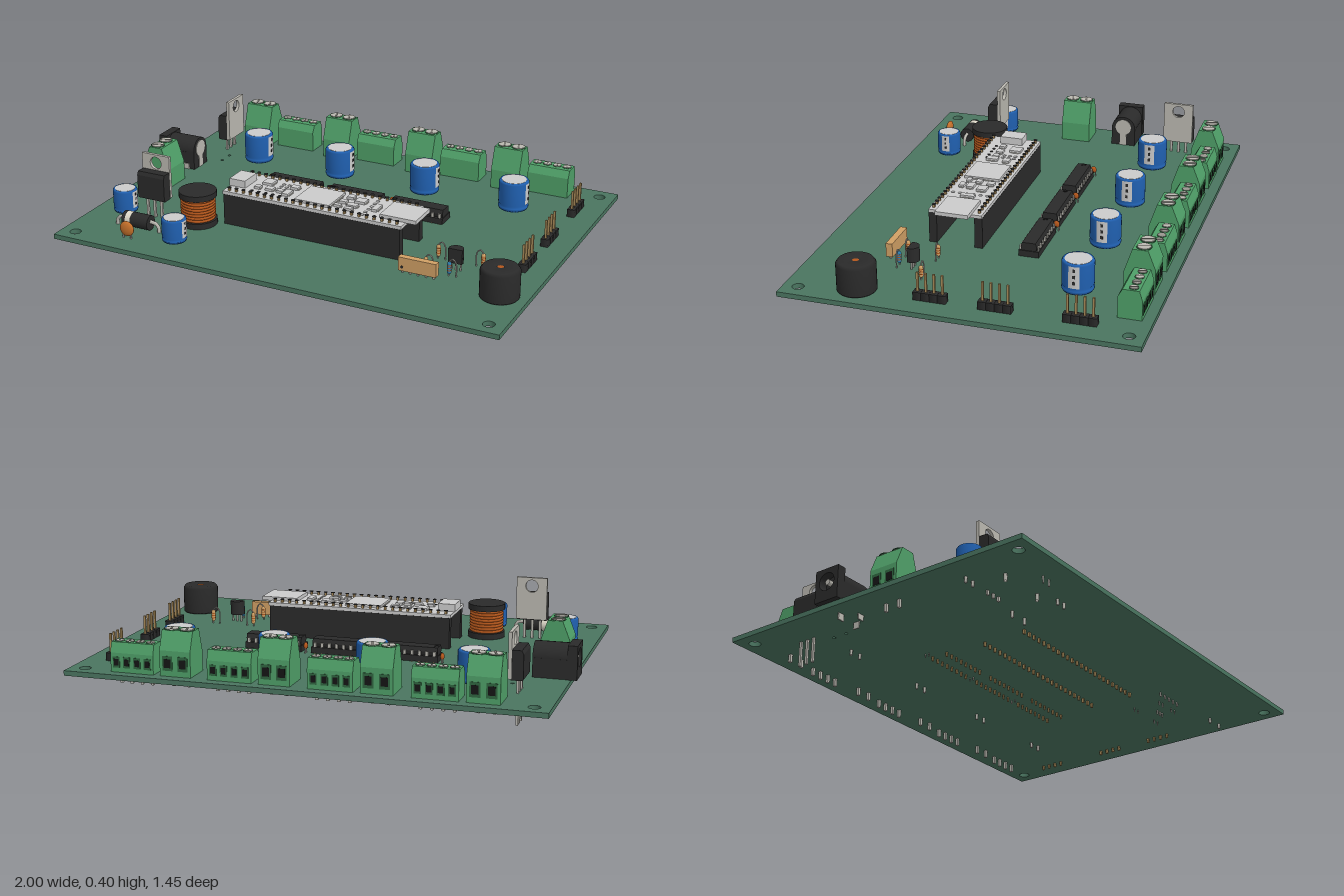
import * as THREE from 'three';
import { mergeGeometries } from 'three/addons/utils/BufferGeometryUtils.js';

const mats = {};
const mat = (c) => (mats[c] ??= new THREE.MeshStandardMaterial({ color: c, side: THREE.DoubleSide }));
const GREY = 0xcccccc, METAL = 0xbab8b0, BLACK = 0x2a2a2a, GREEN = 0x4f9f68, DKGREEN = 0x2f6640,
  BLUE = 0x2060b0, COPPER = 0xb5571c, GOLD = 0xa88a58, TAN = 0xd0a065, HOLE = 0x151515;
const TOP = 0.128, BOTTOM = 0.107;

function add(parent, name, geo, color, x = 0, y = 0, z = 0) {
  const m = new THREE.Mesh(geo, mat(color));
  m.name = name;
  m.position.set(x, y, z);
  parent.add(m);
  return m;
}
function group(parent, name, x, z, rot = 0) {
  const g = new THREE.Group();
  g.name = name;
  g.position.set(x, TOP, z);
  g.rotation.y = rot;
  parent.add(g);
  return g;
}
const box = (w, h, d) => new THREE.BoxGeometry(w, h, d);
const cyl = (r, h, n = 24, r2 = r) => new THREE.CylinderGeometry(r2, r, h, n);
const range = (n, step) => Array.from({ length: n }, (_, i) => (i - (n - 1) / 2) * step);
// Side profile of [z, y] points swept along x
function prism(points, width) {
  const s = new THREE.Shape(points.map((p) => new THREE.Vector2(...p)));
  return new THREE.ExtrudeGeometry(s, { depth: width, bevelEnabled: false })
    .translate(0, 0, -width / 2).rotateY(-Math.PI / 2);
}
function plate(w, h, depth, holes, segments = 24) {
  const s = new THREE.Shape([[-w / 2, -h / 2], [w / 2, -h / 2], [w / 2, h / 2], [-w / 2, h / 2]].map((p) => new THREE.Vector2(...p)));
  for (const [x, y, r] of holes) s.holes.push(new THREE.Path().absarc(x, y, r, 0, Math.PI * 2, true));
  return new THREE.ExtrudeGeometry(s, { depth, bevelEnabled: false, curveSegments: segments });
}
function wire(points, r) {
  const c = new THREE.CatmullRomCurve3(points.map((p) => new THREE.Vector3(...p)));
  return new THREE.TubeGeometry(c, 20, r, 6);
}

// Screw terminal block, wire entries on the -z side
function terminal(root, name, x, z, n, pitch, w, profile, screwR, entry, rot = 0) {
  const g = group(root, name, x, z, rot);
  add(g, 'housing', prism(profile, w), GREEN);
  const top = Math.max(...profile.map((p) => p[1]));
  const back = Math.min(...profile.map((p) => p[0]));
  for (const dx of range(n, pitch)) {
    add(g, 'screwWell', cyl(screwR * 1.15, 0.003), DKGREEN, dx, top, -0.008);
    add(g, 'screw', cyl(screwR, 0.006), METAL, dx, top + 0.001, -0.008);
    add(g, 'screwSlot', box(screwR * 0.3, 0.002, screwR * 1.8), 0x77756f, dx, top + 0.0045, -0.008).rotation.y = 0.3;
    add(g, 'wireEntry', box(pitch * 0.66, entry, 0.004), DKGREEN, dx, entry * 0.75 + 0.008, back);
    add(g, 'entryClamp', box(pitch * 0.45, entry * 0.6, 0.002), HOLE, dx, entry * 0.75 + 0.008, back - 0.002);
    add(g, 'pin', box(0.012, 0.055, 0.012), METAL, dx, -0.0275, 0);
  }
  return g;
}
const BIG = [[0.0625, 0], [0.0625, 0.085], [0.031, 0.183], [-0.031, 0.183], [-0.0625, 0.105], [-0.0625, 0]];
const SMALL = [[0.048, 0], [0.048, 0.09], [0.03, 0.122], [-0.035, 0.122], [-0.048, 0.08], [-0.048, 0]];

// Electrolytic capacitor with polarity stripe on +x
function capacitor(root, x, z, r, h) {
  const g = group(root, 'electrolyticCapacitor', x, z);
  const pts = [[0, 0.004], [r * 0.93, 0.004], [r, 0.012], [r, h * 0.14], [r * 0.93, h * 0.19], [r, h * 0.24], [r, h - 0.007], [r * 0.93, h], [r * 0.8, h]];
  add(g, 'sleeve', new THREE.LatheGeometry(pts.map((p) => new THREE.Vector2(...p)), 32), BLUE);
  add(g, 'canTop', cyl(r * 0.82, 0.004, 32), GREY, 0, h - 0.001);
  add(g, 'stripe', new THREE.CylinderGeometry(r * 1.01, r * 1.01, h * 0.7, 8, 1, true, Math.PI / 2 - 0.35, 0.7), GREY, 0, h * 0.6);
  for (const y of [0.42, 0.62, 0.82]) add(g, 'minusMark', box(0.002, h * 0.1, r * 0.16), BLACK, r * 1.01, h * y, 0);
  for (const dx of [-1, 1]) add(g, 'lead', cyl(0.006, 0.05, 8), METAL, dx * r * 0.4, -0.02);
}

// Upright tab package: metal tab on the -z side, body toward +z
function tabPackage(root, name, x, z, lift, legEnd, rot) {
  const g = group(root, name, x, z, rot);
  add(g, 'metalTab', plate(0.133, 0.185, 0.014, [[0, 0.055, 0.027]]), METAL, 0, lift + 0.0925, -0.03);
  add(g, 'body', prism([[-0.018, 0], [0.03, 0], [0.03, 0.1], [0.022, 0.115], [-0.018, 0.115]], 0.13), BLACK, 0, lift);
  add(g, 'bodyBase', box(0.13, 0.012, 0.045), BLACK, 0, lift + 0.002, 0.004);
  for (const dx of range(3, 0.034))
    add(g, 'leg', box(0.011, lift - legEnd, 0.009), METAL, dx, (lift + legEnd) / 2, 0.004);
}

function pinHeader(root, x, z) {
  const g = group(root, 'pinHeader', x, z);
  for (const dz of range(4, 0.0335)) {
    add(g, 'headerBlock', new THREE.CylinderGeometry(0.023, 0.023, 0.034, 4, 1).rotateY(Math.PI / 4), BLACK, 0, 0.017, dz);
    add(g, 'pin', box(0.009, 0.153, 0.009), GOLD, 0, 0.0365, dz);
  }
}

// Resistor standing on end with its wire looped over
function uprightResistor(root, x, z, color, dir) {
  const g = group(root, 'uprightResistor', x, z);
  add(g, 'body', new THREE.CapsuleGeometry(0.009, 0.035, 4, 10), color, -0.014 * dir, 0.035);
  for (const y of [0.025, 0.036, 0.046]) add(g, 'band', cyl(0.0096, 0.004, 10), COPPER, -0.014 * dir, y);
  add(g, 'wire', wire([[-0.014 * dir, -0.04, 0], [-0.014 * dir, 0.06, 0], [0, 0.074, 0], [0.014 * dir, 0.06, 0], [0.014 * dir, -0.04, 0]], 0.003), METAL);
}

function controllerModule(root) {
  const g = group(root, 'controllerModule', 0.008, 0.195);
  const pins = [], holes = [];
  for (const s of [-1, 1]) {
    add(g, 'socketStrip', box(0.81, 0.134, 0.034), BLACK, 0, 0.067, s * 0.098);
    for (const x of range(24, 0.0335)) {
      pins.push(box(0.009, 0.045, 0.009).translate(x, -0.018, s * 0.098));
      pins.push(box(0.009, 0.03, 0.009).translate(x, 0.147, s * 0.098));
      holes.push(cyl(0.0085, 0.003, 10).translate(x, 0.162, s * 0.098));
    }
  }
  for (let i = 0; i < 5; i++) holes.push(cyl(0.007, 0.003, 10).translate(-0.3 + i * 0.033, 0.149, 0.058));
  const vias = [];
  for (const z of range(6, 0.03)) vias.push([0.22, z, 0.008]);
  for (const x of [-0.21, -0.185]) for (const z of [-0.06, -0.035, -0.01]) vias.push([x, z, 0.008]);
  add(g, 'moduleBoard', plate(0.82, 0.228, 0.014, vias, 10).rotateX(Math.PI / 2), GREY, 0, 0.148);
  add(g, 'pins', mergeGeometries(pins), GOLD);
  add(g, 'pinTips', mergeGeometries(holes), BLACK);
  add(g, 'usbSocket', box(0.075, 0.032, 0.1), GREY, -0.375, 0.164, 0);
  add(g, 'cardSlot', box(0.16, 0.017, 0.142), GREY, 0.375, 0.155, 0);
  // chips: x, z, width, depth
  for (const [x, z, w, d] of [[-0.01, 0, 0.16, 0.155], [-0.27, -0.045, 0.045, 0.05], [-0.235, 0.018, 0.035, 0.03], [-0.29, 0.022, 0.025, 0.025],
    [-0.185, 0.02, 0.03, 0.025], [-0.145, -0.04, 0.035, 0.03], [-0.15, 0.025, 0.03, 0.05], [0.11, -0.055, 0.03, 0.03], [0.165, -0.035, 0.045, 0.04],
    [0.1, 0.0, 0.03, 0.025], [0.15, 0.02, 0.045, 0.03], [0.095, 0.045, 0.03, 0.02], [0.15, 0.058, 0.035, 0.022], [0.25, 0, 0.025, 0.06]]) {
    add(g, 'chip', box(w, 0.012, d), GREY, x, 0.153, z);
    add(g, 'chipFeet', box(w + 0.008, 0.004, d * 0.7), METAL, x, 0.149, z);
  }
}

function dualInlineChip(root, x, z) {
  const g = group(root, 'dualInlineChip', x, z);
  add(g, 'socket', box(0.252, 0.026, 0.085), BLACK, 0, 0.015);
  add(g, 'chipBody', prism([[-0.03, 0.028], [0.03, 0.028], [0.034, 0.044], [0.028, 0.062], [-0.028, 0.062], [-0.034, 0.044]], 0.245), BLACK);
  add(g, 'notch', cyl(0.01, 0.002, 16), HOLE, -0.112, 0.0625);
  for (const px of range(8, 0.0315)) for (const s of [-1, 1]) {
    add(g, 'chipLeg', box(0.012, 0.024, 0.006), METAL, px, 0.034, s * 0.037);
    add(g, 'pin', box(0.007, 0.045, 0.007), GOLD, px, -0.018, s * 0.037);
  }
  const c = group(root, 'bypassCapacitor', x - 0.145, z - 0.038);
  add(c, 'body', new THREE.SphereGeometry(0.014, 12, 8).scale(0.6, 1.1, 1), COPPER, 0, 0.03);
  for (const s of [-1, 1]) add(c, 'lead', cyl(0.003, 0.06, 6), METAL, 0, -0.005, s * 0.009);
}

export function createModel() {
  const root = new THREE.Group();
  root.name = 'controlCircuitBoard';

  // Main board, plate y runs toward -z
  const holes = [];
  for (const x of [-0.923, 0.923]) for (const y of [-0.66, 0.66]) holes.push([x, y, 0.024]);
  holes.push([-0.777, 0.363, 0.007], [-0.777, 0.298, 0.007]);
  add(root, 'mainBoard', plate(1.977, 1.445, TOP - BOTTOM, holes).rotateX(-Math.PI / 2), 0x4a7560, 0.0115, BOTTOM, -0.0025);

  // Back row of four identical channels
  for (let i = 0; i < 4; i++) {
    const x = i * 0.417;
    terminal(root, 'outputTerminal', -0.72 + x, -0.617, 2, 0.065, 0.132, BIG, 0.027, 0.06);
    terminal(root, 'signalTerminal', -0.533 + x, -0.633, 4, 0.045, 0.186, SMALL, 0.017, 0.045);
    capacitor(root, -0.615 + x, -0.385, 0.065, 0.133);
  }
  terminal(root, 'powerTerminal', -0.868, 0.03, 2, 0.065, 0.132, BIG, 0.027, 0.06, Math.PI / 2);
  capacitor(root, -0.843, 0.38, 0.052, 0.105);
  capacitor(root, -0.493, 0.55, 0.052, 0.105);

  tabPackage(root, 'sideTransistor', -0.81, -0.465, 0.062, -TOP, -Math.PI / 2);
  tabPackage(root, 'frontRegulator', -0.695, 0.375, 0.09, -0.04, 0);

  // Power jack opening toward -x
  const jack = group(root, 'powerJack', -0.91, -0.198);
  add(jack, 'faceFrame', plate(0.116, 0.14, 0.04, [[0, 0.012, 0.038]]).rotateY(Math.PI / 2), BLACK, -0.09, 0.07);
  add(jack, 'lowerBody', box(0.14, 0.08, 0.11), BLACK, 0.02, 0.04);
  add(jack, 'barrel', cyl(0.055, 0.14).rotateZ(Math.PI / 2), BLACK, 0.02, 0.083);
  add(jack, 'centrePin', cyl(0.012, 0.05, 12).rotateZ(Math.PI / 2), METAL, -0.06, 0.082);
  add(jack, 'rearContact', cyl(0.037, 0.004).rotateZ(Math.PI / 2), METAL, 0.091, 0.088);
  add(jack, 'rearTab', box(0.004, 0.13, 0.03), METAL, 0.091, 0.015);
  add(jack, 'frontTab', box(0.03, 0.08, 0.006), METAL, 0.0, -0.01, 0);
  add(jack, 'sideTab', box(0.03, 0.07, 0.006), METAL, 0.05, -0.01, 0.057);

  // Wound inductor
  const coil = group(root, 'inductor', -0.497, 0.352);
  add(coil, 'lowerFlange', cyl(0.08, 0.025, 32), BLACK, 0, 0.0145);
  add(coil, 'upperFlange', cyl(0.08, 0.025, 32), BLACK, 0, 0.138);
  add(coil, 'core', cyl(0.066, 0.1, 32), COPPER, 0, 0.077);
  for (let i = 0; i < 8; i++) add(coil, 'winding', new THREE.TorusGeometry(0.068, 0.0065, 6, 32).rotateX(Math.PI / 2), COPPER, 0, 0.034 + i * 0.0125);
  for (const s of [-1, 1]) add(coil, 'lead', cyl(0.006, 0.06, 8), METAL, s * 0.04, -0.02);

  // Buzzer
  const buzzer = group(root, 'buzzer', 0.888, 0.43);
  const bp = [[0, 0], [0.074, 0], [0.079, 0.006], [0.079, 0.116], [0.07, 0.128], [0.014, 0.128], [0.014, 0.115], [0, 0.115]];
  add(buzzer, 'case', new THREE.LatheGeometry(bp.map((p) => new THREE.Vector2(...p)), 32), BLACK);
  add(buzzer, 'soundHole', cyl(0.0135, 0.008, 16), COPPER, 0, 0.122);
  for (const s of [-1, 1]) add(buzzer, 'lead', cyl(0.006, 0.045, 8), METAL, s * 0.04, -0.02);

  // Axial diode
  const diode = group(root, 'diode', -0.695, 0.512);
  add(diode, 'body', cyl(0.032, 0.125).rotateZ(Math.PI / 2), BLACK, 0, 0.036);
  add(diode, 'band', cyl(0.0325, 0.024).rotateZ(Math.PI / 2), 0xddd8c8, -0.034, 0.036);
  add(diode, 'lead', wire([[-0.1, -0.05, 0], [-0.1, 0.025, 0], [-0.09, 0.036, 0], [0.09, 0.036, 0], [0.1, 0.025, 0], [0.1, -0.05, 0]], 0.008), METAL);

  // Disc capacitor
  const disc = group(root, 'discCapacitor', -0.682, 0.615);
  add(disc, 'body', new THREE.SphereGeometry(0.033, 20, 14).scale(1, 1, 0.42), 0xc4702a, 0, 0.042);
  for (const s of [-1, 1]) add(disc, 'lead', cyl(0.004, 0.08, 6), METAL, s * 0.018, -0.01);

  controllerModule(root);
  for (const x of [-0.284, 0.012, 0.308]) dualInlineChip(root, x, -0.122);
  for (const z of [-0.465, -0.133, 0.128]) pinHeader(root, 0.89, z);

  // Resistor network
  const net = group(root, 'resistorNetwork', 0.537, 0.404);
  add(net, 'body', box(0.162, 0.058, 0.028), TAN, 0, 0.042);
  add(net, 'marker', cyl(0.006, 0.002, 12).rotateX(Math.PI / 2), BLACK, -0.065, 0.03, 0.0145);
  for (const x of range(5, 0.0335)) add(net, 'lead', box(0.007, 0.06, 0.006), METAL, x, -0.01);

  // Small transistor with half-round case
  const tr = group(root, 'smallTransistor', 0.65, 0.285);
  add(tr, 'case', new THREE.CylinderGeometry(0.031, 0.031, 0.062, 20, 1, false, Math.PI / 2, Math.PI), BLACK, 0, 0.064, 0.008);
  add(tr, 'flatFace', box(0.06, 0.062, 0.012), BLACK, 0, 0.064, 0.012);
  for (const x of range(3, 0.02)) add(tr, 'lead', box(0.006, 0.08, 0.006), METAL, x, 0, 0.004);

  uprightResistor(root, 0.56, 0.222, TAN, 1);
  uprightResistor(root, 0.725, 0.222, TAN, -1);
  uprightResistor(root, 0.56, 0.35, TAN, 1);
  uprightResistor(root, 0.66, 0.35, 0x2f7fb0, 1);
  return root;
}
